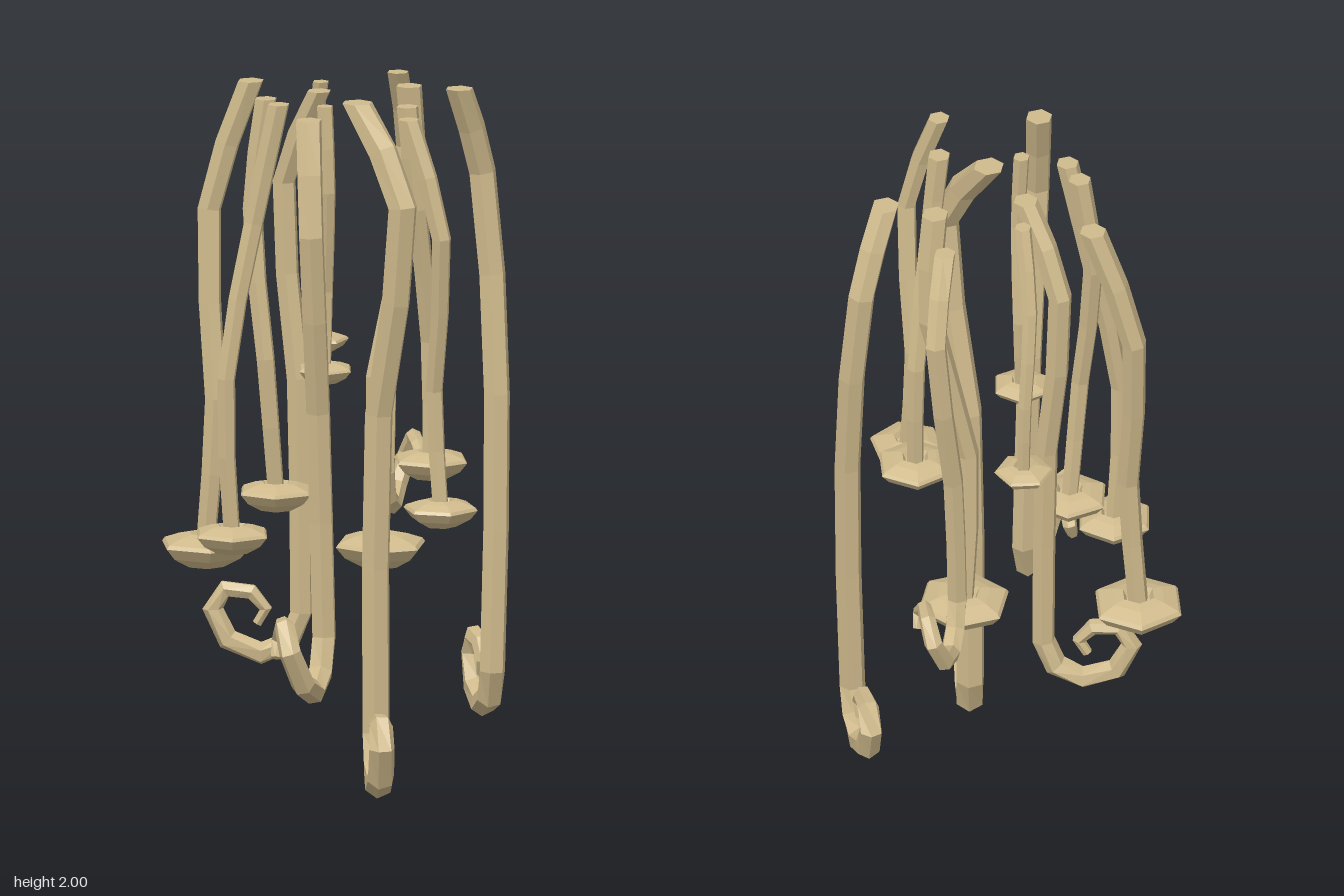
import * as THREE from 'three';

const SIDES = 6;
const material = new THREE.MeshStandardMaterial({ color: 0xcfba8c, flatShading: true });

// Curl outline: x runs outward, y up, in units of the curl's width
const SPIRAL = [[0.14, -0.34], [0.45, -0.48], [0.83, -0.33], [1, 0.02], [0.86, 0.25],
  [0.56, 0.22], [0.4, 0.03], [0.5, -0.14]];

// Rounded disc outline, in units of the disc's radius
const DISC = [[0, -0.46], [0.42, -0.43], [0.8, -0.22], [1, 0.02], [0.94, 0.1], [0.6, 0.22],
  [0.36, 0.27], [0.28, 0.12], [0, 0.12]].map(([x, y]) => new THREE.Vector2(x, y));

// Tapering six-sided sweep along a polyline, closed at both ends
function sweep(points, radii) {
  const last = points.length - 1;
  const positions = [];
  const index = [];
  const normal = new THREE.Vector3(1, 0, 0);
  const addRing = (center, n, b, radius) => {
    for (let j = 0; j < SIDES; j++) {
      const a = (j / SIDES) * Math.PI * 2;
      const p = center.clone().addScaledVector(n, Math.cos(a) * radius)
        .addScaledVector(b, Math.sin(a) * radius);
      positions.push(p.x, p.y, p.z);
    }
  };
  points.forEach((p, i) => {
    // The first ring is level, so the top is cut flat
    const tangent = i === 0 ? new THREE.Vector3(0, -1, 0)
      : points[Math.min(i + 1, last)].clone().sub(points[i - 1]).normalize();
    normal.addScaledVector(tangent, -normal.dot(tangent)).normalize();
    const binormal = tangent.clone().cross(normal);
    if (i === 0) addRing(p, normal, binormal, 0);
    addRing(p, normal, binormal, radii[i]);
    if (i === last) addRing(p, normal, binormal, 0);
  });
  // The outermost strips fan to a point and form the caps
  for (let i = 0; i < last + 2; i++) {
    for (let j = 0; j < SIDES; j++) {
      const a = i * SIDES + j;
      const b = i * SIDES + ((j + 1) % SIDES);
      if (i > 0) index.push(a, b, a + SIDES);
      if (i < last + 1) index.push(b, b + SIDES, a + SIDES);
    }
  }
  const geometry = new THREE.BufferGeometry();
  geometry.setAttribute('position', new THREE.Float32BufferAttribute(positions, 3));
  geometry.setIndex(index);
  geometry.computeVertexNormals();
  return geometry;
}

// Hanging stem: level top, outward bulge, then down to its end
function stemPoints(stations) {
  const curve = new THREE.CatmullRomCurve3(stations.map((s) => new THREE.Vector3(...s)));
  return curve.getPoints(6);
}

function discTentacle({ path, size, turn }) {
  const group = new THREE.Group();
  group.name = 'discTentacle';
  const points = stemPoints(path);
  const radius = size * 0.285;
  const stem = new THREE.Mesh(sweep(points, points.map((p, i) => radius * (1 - 0.04 * i))), material);
  stem.name = 'stem';
  const disc = new THREE.Mesh(new THREE.LatheGeometry(DISC, SIDES), material);
  disc.name = 'disc';
  disc.scale.setScalar(size);
  disc.position.set(...path[path.length - 1]);
  disc.rotation.y = THREE.MathUtils.degToRad(turn + 30);
  group.add(stem, disc);
  return group;
}

function curlTentacle({ path, radius, width, out, drift }) {
  const points = stemPoints(path);
  const base = points[points.length - 1].clone();
  const dir = new THREE.Vector3(out[0], 0, out[1]).normalize();
  const side = new THREE.Vector3(-dir.z, 0, dir.x);
  const stemCount = points.length;
  // The inner turn drifts sideways out of the curl's plane
  SPIRAL.forEach(([u, v], i) => {
    const p = base.clone().addScaledVector(dir, u * width);
    p.addScaledVector(side, drift * THREE.MathUtils.clamp((i - 2) / 4, 0, 1));
    p.y += v * width;
    points.push(p);
  });
  const radii = points.map((p, i) => radius * (i < stemCount ? 1 - 0.01 * i
    : 0.96 - 0.55 * ((i - stemCount) / (SPIRAL.length - 1)) ** 1.8));
  const mesh = new THREE.Mesh(sweep(points, radii), material);
  mesh.name = 'curlTentacle';
  return mesh;
}

// Stations run from the top through the bulge to the disc's centre
const DISC_TENTACLES = [
  { size: 0.137, turn: 0, path: [[0.063, 2, -0.23], [0.055, 1.65, -0.26], [0, 1.15, -0.16], [-0.01, 0.65, -0.19]] },
  { size: 0.137, turn: 15, path: [[-0.335, 2, 0], [-0.44, 1.62, 0.06], [-0.375, 1.08, 0.11], [-0.4, 0.65, 0.125]] },
  { size: 0.115, turn: 10, path: [[-0.06, 2, 0.21], [-0.12, 1.65, 0.25], [-0.16, 1.2, 0.325], [-0.155, 0.74, 0.305]] },
  { size: 0.115, turn: 8, path: [[-0.14, 2, 0.17], [-0.165, 1.68, 0.2], [-0.1, 1.25, 0.22], [-0.09, 0.855, 0.185]] },
  { size: 0.11, turn: 25, path: [[0.365, 2, 0.14], [0.47, 1.66, 0.12], [0.402, 1.2, 0.07], [0.43, 0.855, 0.075]] },
  { size: 0.115, turn: 15, path: [[0.245, 2, 0], [0.265, 1.7, -0.02], [0.25, 1.3, -0.095], [0.262, 0.95, -0.085]] },
  { size: 0.085, turn: -15, path: [[-0.17, 2, -0.115], [-0.235, 1.75, -0.16], [-0.25, 1.45, -0.2], [-0.245, 1.22, -0.2]] },
  { size: 0.085, turn: 10, path: [[0.06, 2, 0.147], [0.075, 1.75, 0.15], [0.035, 1.45, 0.11], [0.038, 1.22, 0.12]] },
];

// Stations run from the top through the bulge to where the curl begins
const CURL_TENTACLES = [
  { radius: 0.032, width: 0.245, out: [-0.5, -0.87], drift: 0.095,
    path: [[-0.085, 2, -0.36], [-0.145, 1.76, -0.47], [-0.15, 1.25, -0.4], [-0.14, 0.82, -0.37]] },
  { radius: 0.041, width: 0.245, out: [-0.8, -0.6], drift: 0,
    path: [[0.2, 2, -0.29], [0.2, 1.74, -0.395], [0.27, 1.1, -0.375], [0.29, 0.3, -0.33]] },
  { radius: 0.036, width: 0.255, out: [-0.83, 0.55], drift: 0,
    path: [[-0.09, 2, -0.01], [-0.22, 1.72, -0.01], [-0.16, 1.15, 0], [-0.14, 0.47, 0.01]] },
  { radius: 0.045, width: 0.265, out: [0.68, 0.73], drift: 0,
    path: [[0.1, 2, 0.05], [0.285, 1.72, 0.07], [0.18, 1.1, 0.05], [0.17, 0.165, 0.05]] },
  { radius: 0.039, width: 0.285, out: [0.42, 0.91], drift: 0.105,
    path: [[0.15, 2, 0.33], [0.225, 1.68, 0.41], [0.185, 1.15, 0.33], [0.19, 0.49, 0.31]] },
];

export function createModel() {
  const model = new THREE.Group();
  model.name = 'hangingTentacles';
  DISC_TENTACLES.forEach((t) => model.add(discTentacle(t)));
  CURL_TENTACLES.forEach((t) => model.add(curlTentacle(t)));
  return model;
}
